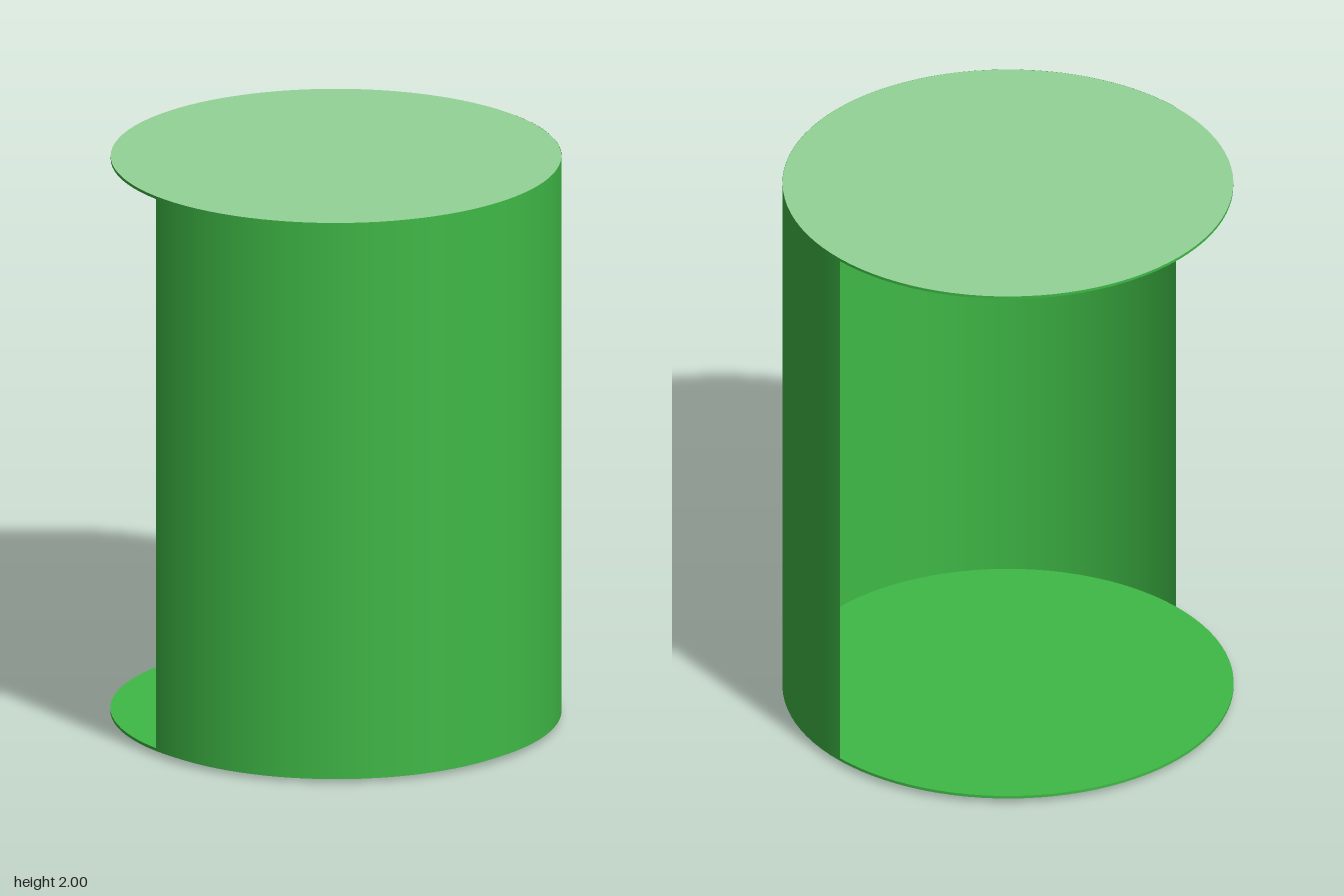
import * as THREE from 'three';

export function createModel() {
  const green = new THREE.MeshStandardMaterial({ color: 0x3fb946, side: THREE.DoubleSide });
  green.name = 'green';
  const paleGreen = new THREE.MeshStandardMaterial({ color: 0x94d497 });
  paleGreen.name = 'pale green';

  const R = 0.77, SEGMENTS = 96;
  const model = new THREE.Group();
  model.name = 'halfOpenCylinder';

  // Flat disc between two heights, optionally with its own top colour
  function disc(name, radius, y0, y1, topMaterial = green) {
    const geometry = new THREE.CylinderGeometry(radius, radius, y1 - y0, SEGMENTS);
    const mesh = new THREE.Mesh(geometry, [green, topMaterial, green]);
    mesh.name = name;
    mesh.position.y = (y0 + y1) / 2;
    model.add(mesh);
  }

  // Stepped base
  disc('baseFoot', 0.73, 0, 0.012);
  disc('baseStep', 0.755, 0.012, 0.018);
  disc('basePlate', R, 0.018, 0.028);

  // Half-round wall on the +x side, open towards -x
  const wall = new THREE.Mesh(
    new THREE.CylinderGeometry(R, R, 1.972, SEGMENTS / 2, 1, true, 0, Math.PI), green);
  wall.name = 'curvedWall';
  wall.position.y = 0.028 + 1.972 / 2;
  model.add(wall);

  // Thin lid with a pale upper face
  disc('lid', R - 0.001, 1.99, 2, paleGreen);

  return model;
}
